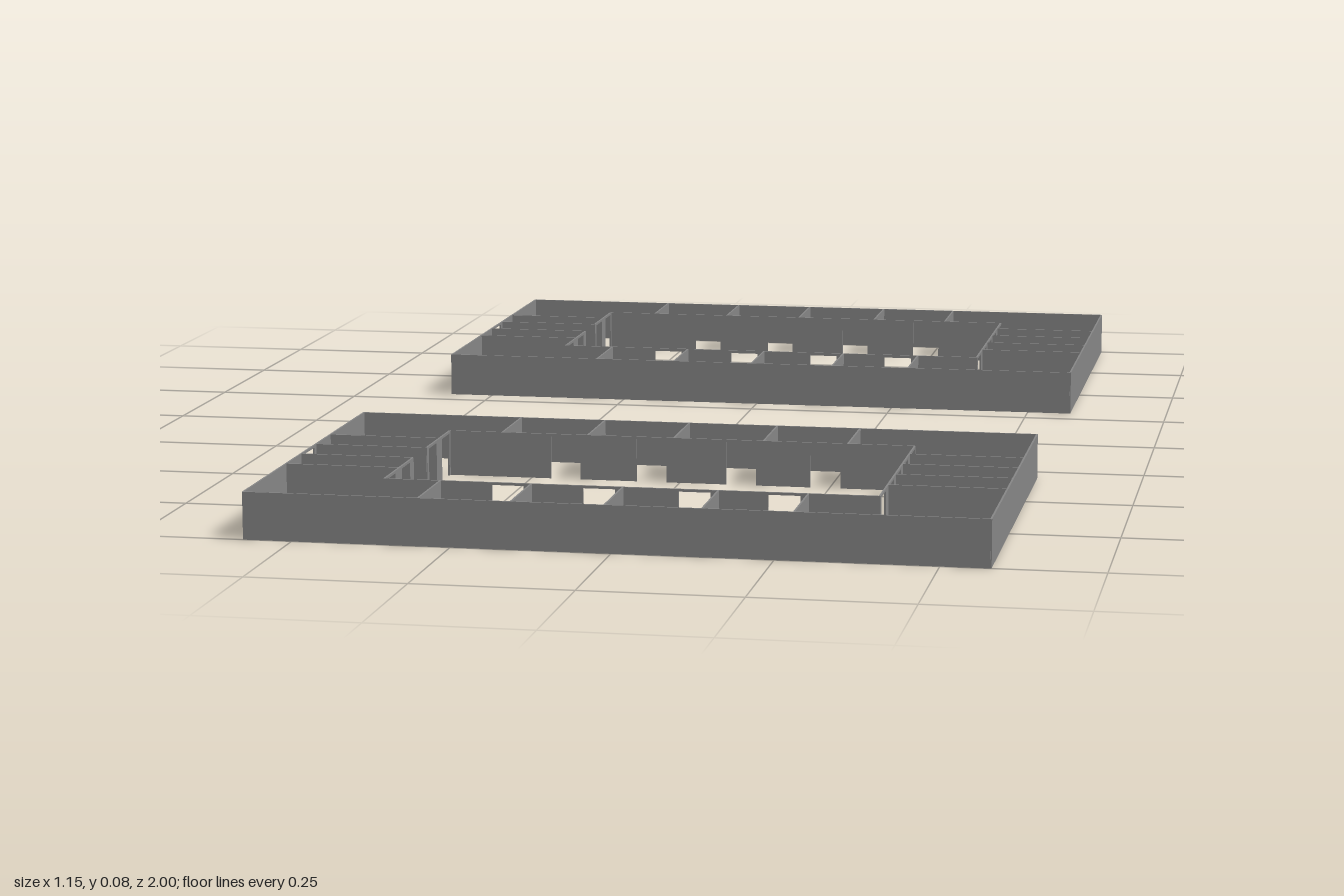
import * as THREE from 'three';

const H = 0.075;       // wall height
const T = 0.003;       // wall thickness
const LINTEL = 0.004;  // thin strip over a doorway
const DOOR = 0.05;

const X = 0.576, IX = 0.39;                               // outer and inner half-widths
const Z0 = 0.3065, Z1 = 0.9985, IZ0 = 0.445, IZ1 = 0.86;  // outer and inner depths
const LONG = [-0.3, -0.155, -0.01, 0.14, 0.28];           // dividers on the long sides
const SHORT = [0.515, 0.6, 0.685, 0.77];                  // dividers on the short sides

const material = new THREE.MeshStandardMaterial({ color: 0x888888, side: THREE.DoubleSide });

// A thin wall along one axis; doors are cut up to the lintel
function addWall(group, name, axis, from, to, at, doors = []) {
  const s = new THREE.Shape();
  s.moveTo(from, 0);
  for (const [a, b] of doors) {
    s.lineTo(a, 0);
    s.lineTo(a, H - LINTEL);
    s.lineTo(b, H - LINTEL);
    s.lineTo(b, 0);
  }
  s.lineTo(to, 0);
  s.lineTo(to, H);
  s.lineTo(from, H);
  const geometry = new THREE.ExtrudeGeometry(s, { depth: T, bevelEnabled: false });
  geometry.translate(0, 0, -T / 2);
  if (axis === 'z') geometry.rotateY(-Math.PI / 2).translate(at, 0, 0);
  else geometry.translate(0, 0, at);
  const mesh = new THREE.Mesh(geometry, material);
  mesh.name = name;
  group.add(mesh);
}

// One doorway per room, beside the divider that ends the room
const doorsBetween = (cuts) => cuts.slice(1).map((c) => [c - 0.012 - DOOR, c - 0.012]);

function buildBlock() {
  const block = new THREE.Group();

  // Outer walls, with the passage entrance on the -x side
  addWall(block, 'outerBackWall', 'x', -X, X, Z0);
  addWall(block, 'outerFrontWall', 'x', -X, X, Z1);
  addWall(block, 'outerLeftWall', 'z', Z0, Z1, X);
  addWall(block, 'outerRightWall', 'z', Z0, Z1, -X, [[SHORT[1] + 0.012, SHORT[2] - 0.012]]);

  // Courtyard walls with room doors
  const longDoors = doorsBetween(LONG);
  addWall(block, 'courtyardBackWall', 'x', -IX, IX, IZ0, longDoors);
  addWall(block, 'courtyardFrontWall', 'x', -IX, IX, IZ1, longDoors);
  const sideDoors = doorsBetween([IZ0, ...SHORT, IZ1]);
  addWall(block, 'courtyardLeftWall', 'z', IZ0, IZ1, IX, sideDoors);
  addWall(block, 'courtyardRightWallBack', 'z', IZ0, SHORT[1], -IX, sideDoors.slice(0, 2));
  addWall(block, 'courtyardRightWallFront', 'z', SHORT[2], IZ1, -IX, sideDoors.slice(3));

  // Room dividers
  for (const x of LONG) {
    addWall(block, 'backRoomDivider', 'z', Z0, IZ0, x);
    addWall(block, 'frontRoomDivider', 'z', IZ1, Z1, x);
  }
  for (const z of SHORT) {
    addWall(block, 'rightRoomDivider', 'x', -X, -IX, z);
    addWall(block, 'leftRoomDivider', 'x', IX, X, z);
  }
  return block;
}

export function createModel() {
  const model = new THREE.Group();
  model.name = 'courtyardBlocks';
  ['frontBlock', 'backBlock'].forEach((name, i) => {
    const block = buildBlock();
    block.name = name;
    block.position.z = -i * (Z0 + Z1);
    model.add(block);
  });
  return model;
}
